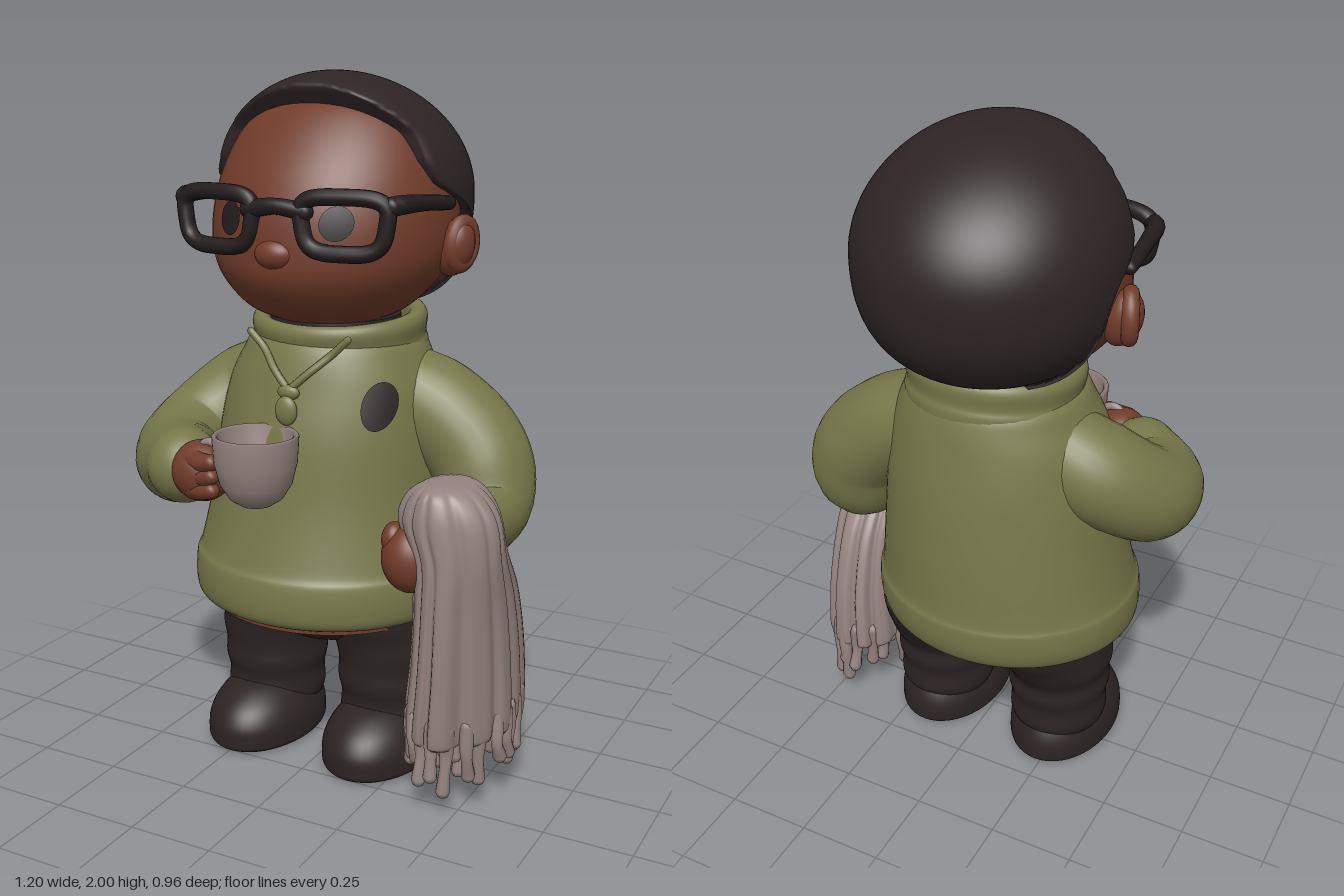
import * as THREE from 'three';
import { mergeVertices } from 'three/addons/utils/BufferGeometryUtils.js';

const mat = (name, color) => Object.assign(new THREE.MeshStandardMaterial({ color }), { name });
const skin = mat('skin', 0x713c2a);
const hairMat = mat('hair', 0x2e2425);
const knit = mat('olive knit', 0x77774a);
const dark = mat('trouser brown', 0x2d2424);
const frameMat = mat('glasses frame', 0x231c1d);
const cloth = mat('towel and cup', 0x95837f);
const V = (x, y, z) => new THREE.Vector3(x, y, z);
const CX = -0.04; // centre line of the figure

// Smooth solid through horizontal ellipses [y, cx, cz, rx, rz], listed upwards
function section(rows) {
  const c = new THREE.CatmullRomCurve3(rows.map(r => V(r[1], r[0], r[2])), false, 'catmullrom');
  const s = new THREE.CatmullRomCurve3(rows.map(r => V(r[3], r[0], r[4])), false, 'catmullrom');
  return t => ({ c: c.getPoint(t), s: s.getPoint(t) });
}
function loft(rows, { seg = 48, steps = 40, ripple = () => 1 } = {}) {
  const at = section(rows), pos = [], idx = [];
  for (let i = 0; i <= steps; i++) {
    const { c, s } = at(i / steps);
    for (let j = 0; j < seg; j++) {
      const a = j / seg * Math.PI * 2, k = ripple(a, i / steps);
      pos.push(c.x + Math.cos(a) * s.x * k, c.y, c.z + Math.sin(a) * s.z * k);
    }
  }
  const end = (steps + 1) * seg;
  for (const t of [0, 1]) pos.push(...at(t).c.toArray());
  for (let j = 0; j < seg; j++) {
    const n = (j + 1) % seg, top = steps * seg;
    for (let i = 0; i < steps; i++) {
      const a = i * seg + j, b = i * seg + n;
      idx.push(a, a + seg, b, b, a + seg, b + seg);
    }
    idx.push(end, j, n, end + 1, top + n, top + j);
  }
  const g = new THREE.BufferGeometry();
  g.setAttribute('position', new THREE.Float32BufferAttribute(pos, 3));
  g.setIndex(idx);
  g.computeVertexNormals();
  return g;
}
// Front surface depth of a loft at (x, y)
function frontZ(rows) {
  const at = section(rows);
  return (x, y) => {
    let lo = 0, hi = 1;
    for (let i = 0; i < 24; i++) {
      const m = (lo + hi) / 2;
      if (at(m).c.y < y) lo = m; else hi = m;
    }
    const { c, s } = at(lo);
    return c.z + s.z * Math.sqrt(Math.max(0, 1 - ((x - c.x) / s.x) ** 2));
  };
}
// Thin oval patch laid on a front surface
function patch(x, y, rx, ry, surf, lift) {
  const g = new THREE.RingGeometry(0.001, 1, 28, 6), p = g.attributes.position;
  for (let i = 0; i < p.count; i++) {
    const px = x + p.getX(i) * rx, py = y + p.getY(i) * ry;
    p.setXYZ(i, px, py, surf(px, py) + lift);
  }
  g.computeVertexNormals();
  return g;
}

const headRows = [
  [1.30, CX, -0.02, 0.10, 0.10], [1.32, CX, 0, 0.17, 0.16], [1.36, CX, 0, 0.245, 0.235],
  [1.44, CX, -0.02, 0.318, 0.315], [1.52, CX, -0.03, 0.35, 0.335], [1.62, CX, -0.05, 0.355, 0.345],
  [1.72, CX, -0.07, 0.34, 0.33], [1.82, CX, -0.08, 0.30, 0.275], [1.90, CX, -0.08, 0.235, 0.2],
  [1.94, CX, -0.08, 0.15, 0.13]];
const bodyRows = [
  [0.455, -0.06, -0.01, 0.33, 0.30], [0.48, -0.06, -0.01, 0.385, 0.35], [0.53, -0.06, -0.015, 0.40, 0.368],
  [0.60, -0.06, -0.02, 0.398, 0.368], [0.64, -0.06, -0.025, 0.385, 0.355], [0.80, -0.055, -0.04, 0.36, 0.333],
  [1.0, -0.05, -0.045, 0.338, 0.31], [1.13, -0.045, -0.05, 0.315, 0.282], [1.21, CX, -0.053, 0.28, 0.262],
  [1.26, CX, -0.055, 0.252, 0.24], [1.29, CX, -0.055, 0.2, 0.2]];

export function createModel() {
  const root = new THREE.Group();
  const add = (name, geo, m, x = 0, y = 0, z = 0) => {
    const mesh = new THREE.Mesh(geo, m);
    mesh.name = name;
    mesh.position.set(x, y, z);
    root.add(mesh);
    return mesh;
  };
  const ball = (name, m, x, y, z, rx, ry, rz) => {
    const b = add(name, new THREE.SphereGeometry(1, 32, 24), m, x, y, z);
    b.scale.set(rx, ry, rz);
    return b;
  };
  // Tube with changing radius and rounded ends
  const limb = (name, m, pts, radii, seg = 28, steps = 32) => {
    const curve = new THREE.CatmullRomCurve3(pts.map(p => V(...p)));
    const g = new THREE.TubeGeometry(curve, steps, 1, seg), p = g.attributes.position, v = V(0, 0, 0);
    for (let i = 0; i < p.count; i++) {
      const t = Math.floor(i / (seg + 1)) / steps, f = t * (radii.length - 1), k = Math.min(Math.floor(f), radii.length - 2);
      const c = curve.getPointAt(t);
      v.fromBufferAttribute(p, i).sub(c).multiplyScalar(THREE.MathUtils.lerp(radii[k], radii[k + 1], f - k)).add(c);
      p.setXYZ(i, v.x, v.y, v.z);
    }
    add(name, g, m);
    [0, radii.length - 1].forEach(i => {
      const e = add(name + 'End', new THREE.SphereGeometry(radii[i], seg, Math.ceil(seg / 2)), m);
      e.position.set(...pts[i ? pts.length - 1 : 0]);
    });
  };

  // Head, nose and face
  const face = frontZ(headRows), chest = frontZ(bodyRows);
  add('head', loft(headRows), skin);
  ball('nose', skin, -0.05, 1.522, 0.285, 0.06, 0.042, 0.04);
  for (const s of [-1, 1]) {
    add('eye', patch(CX + s * 0.163, 1.61, 0.042, 0.046, face, 0.006), frameMat);
    const ear = ball('ear', skin, CX + s * 0.362, 1.525, -0.06, 0.055, 0.082, 0.055);
    ear.rotation.z = -s * 0.25;
    const rim = add('earRim', new THREE.TorusGeometry(0.048, 0.024, 12, 28), skin, CX + s * 0.382, 1.535, -0.06);
    rim.rotation.set(0, Math.PI / 2 - s * 0.4, -s * 0.2);
    rim.scale.set(0.85, 1.15, 1);
  }

  // Hair cap: rounded shell cut off along the hairline
  const hairline = [[1.3, -0.23], [1.45, -0.19], [1.6, -0.16], [1.64, -0.12], [1.7, 0.02], [1.76, 0.05], [1.84, 0.055], [1.91, 0.1], [1.95, 0.125], [2.1, 0.125]];
  const cut = y => {
    const k = Math.max(1, hairline.findIndex(h => h[0] > y)), [a, b] = [hairline[k - 1], hairline[k]];
    return THREE.MathUtils.lerp(a[1], b[1], (y - a[0]) / (b[0] - a[0]));
  };
  let hair = new THREE.SphereGeometry(1, 80, 72);
  const hp = hair.attributes.position;
  for (let i = 0; i < hp.count; i++) {
    const u = hp.getY(i), h = Math.sqrt(Math.max(1e-6, 1 - u * u)), y = 1.66 + u * 0.34;
    const k = u < 0 ? Math.max(0, 1 - Math.pow(-u, 2.45)) ** (1 / 2.45) / h : 1;
    const lean = u > 0 ? 0.055 * u * u : 0;
    hp.setXYZ(i, CX + hp.getX(i) * k * 0.372, y, Math.min(-0.09 + lean + hp.getZ(i) * k * 0.39, cut(y)));
  }
  hair.deleteAttribute('uv');
  hair.deleteAttribute('normal');
  hair = mergeVertices(hair, 1e-5);
  hair.computeVertexNormals();
  add('hair', hair, hairMat);

  // Glasses: two rounded frames, bridge and temples
  for (const s of [-1, 1]) {
    const pts = [];
    for (let i = 0; i < 32; i++) {
      const a = i / 32 * Math.PI * 2, q = n => Math.sign(n) * Math.abs(n) ** 0.55;
      const y = q(Math.sin(a)) * 0.074, dx = 0.193 + q(Math.cos(a)) * (0.116 + y * 0.16);
      pts.push(V(CX + s * dx, 1.608 + y, 0.297 - dx * dx * 0.4));
    }
    add('glassesFrame', new THREE.TubeGeometry(new THREE.CatmullRomCurve3(pts, true), 80, 0.023, 12, true), frameMat);
    limb('glassesTemple', frameMat, [[CX + s * 0.318, 1.66, 0.25], [CX + s * 0.332, 1.663, 0.225],
      [CX + s * 0.35, 1.66, 0.1], [CX + s * 0.36, 1.65, -0.02]], [0.027, 0.022, 0.02], 12, 20);
  }
  limb('glassesBridge', frameMat, [[CX - 0.085, 1.64, 0.294], [CX, 1.652, 0.3], [CX + 0.085, 1.64, 0.294]], [0.025, 0.022, 0.025], 12, 10);

  // Sweater, collar and undershirt
  add('sweater', loft(bodyRows, { seg: 64, steps: 60 }), knit);
  add('hemLining', new THREE.CylinderGeometry(1, 1, 0.01, 48), skin, -0.06, 0.455, -0.01).scale.set(0.345, 1, 0.315);
  const collarPts = [[0.255, -0.09], [0.258, -0.05], [0.252, -0.025], [0.258, 0.02], [0.245, 0.045], [0.22, 0.045], [0.2, 0.02], [0.19, -0.06]];
  const collarCurve = new THREE.SplineCurve(collarPts.map(p => new THREE.Vector2(...p)));
  const collar = add('collar', new THREE.LatheGeometry(collarCurve.getPoints(28), 48), knit, -0.033, 1.285, -0.055);
  collar.scale.z = 0.95;
  collar.rotation.x = 0.1;
  add('undershirt', new THREE.CylinderGeometry(0.19, 0.2, 0.13, 40), dark, CX, 1.255, -0.04);

  // Necklace, pendant and chest badge
  for (const s of [-1, 1]) {
    const pts = [0, 0.3, 0.65, 1].map(t => {
      const x = CX + s * 0.155 * (1 - t), y = 1.285 - 0.145 * t;
      return [x, y, Math.max(chest(x, y), 0.17) + 0.01];
    });
    limb('necklace', knit, pts, [0.011, 0.011], 8, 20);
  }
  ball('pendantRing', knit, CX, 1.135, chest(CX, 1.135) + 0.008, 0.034, 0.022, 0.016);
  ball('pendant', knit, CX, 1.085, chest(CX, 1.085) + 0.008, 0.034, 0.042, 0.018);
  add('chestBadge', patch(0.195, 1.1, 0.038, 0.066, chest, 0.008), dark);

  // Bent arm holding the cup
  limb('rightSleeve', knit, [[-0.2, 1.12, -0.08], [-0.36, 1.035, -0.06], [-0.458, 0.93, 0.06], [-0.43, 0.89, 0.21],
    [-0.35, 0.9, 0.3]], [0.13, 0.148, 0.142, 0.138, 0.11]);
  ball('rightHand', skin, -0.255, 0.91, 0.35, 0.09, 0.088, 0.085);
  for (let i = 0; i < 3; i++) limb('finger', skin, [[-0.26, 0.87 + i * 0.04, 0.39], [-0.22, 0.87 + i * 0.04, 0.405], [-0.19, 0.875 + i * 0.04, 0.41]], [0.034, 0.024], 12, 8);
  const cupPts = [[0, 0], [0.045, 0], [0.075, 0.02], [0.1, 0.06], [0.115, 0.12], [0.12, 0.195], [0.114, 0.201], [0.104, 0.195],
    [0.096, 0.1], [0.07, 0.045], [0, 0.025]].map(p => new THREE.Vector2(...p));
  add('cup', new THREE.LatheGeometry(cupPts, 48), cloth, -0.075, 0.84, 0.36);
  add('cupHandle', new THREE.TorusGeometry(0.034, 0.012, 10, 24), cloth, -0.222, 0.965, 0.36);

  // Lowered arm carrying the towel
  limb('leftSleeve', knit, [[0.12, 1.12, -0.08], [0.29, 1.035, -0.09], [0.405, 0.92, -0.085], [0.432, 0.81, -0.055],
    [0.415, 0.775, 0.04], [0.38, 0.77, 0.13]], [0.13, 0.148, 0.152, 0.146, 0.13, 0.1]);
  ball('leftHand', skin, 0.335, 0.71, 0.22, 0.085, 0.1, 0.09);
  ball('leftThumb', skin, 0.29, 0.76, 0.24, 0.035, 0.05, 0.04);

  // Folded towel with fringe
  const folds = (a, t) => 1 - (0.03 + 0.1 * (1 - t)) * Math.abs(Math.cos(a * 6 + Math.sin(a * 3) * 0.7)) ** 7
    + 0.025 * Math.sin(a * 5);
  add('towel', loft([[0.2, 0.44, 0.07, 0.145, 0.25], [0.23, 0.44, 0.07, 0.152, 0.262], [0.4, 0.45, 0.085, 0.14, 0.25],
    [0.58, 0.456, 0.12, 0.13, 0.215], [0.72, 0.458, 0.175, 0.128, 0.155], [0.82, 0.437, 0.19, 0.142, 0.138], [0.88, 0.43, 0.192, 0.122, 0.126],
    [0.92, 0.425, 0.192, 0.08, 0.105], [0.932, 0.42, 0.192, 0.035, 0.06]], { seg: 144, steps: 48, ripple: folds }), cloth);
  for (let i = 0; i < 36; i++) {
    const a = i * 2.399, r = i < 24 ? 0.95 : 0.5, w = Math.sin(i * 7.3);
    const x = 0.44 + Math.cos(a) * 0.142 * r, z = 0.07 + Math.sin(a) * 0.245 * r;
    limb('fringe', cloth, [[x, 0.26, z], [x + w * 0.008, 0.18, z + w * 0.012], [x + w * 0.012, 0.105 + w * 0.035, z + 0.014 * Math.cos(i)]],
      [0.02, 0.022, 0.016, 0.021], 8, 8);
  }

  // Trousers and shoes
  add('hips', loft([[0.35, CX, -0.035, 0.06, 0.13], [0.37, CX, -0.04, 0.2, 0.18], [0.42, CX, -0.045, 0.3, 0.24], [0.52, CX, -0.03, 0.33, 0.29]]), dark);
  for (const s of [-1, 1]) {
    const x = CX + s * 0.198;
    add('trouserLeg', loft([[0.09, x, -0.02, 0.135, 0.135], [0.13, x, -0.02, 0.148, 0.158], [0.19, x, -0.02, 0.146, 0.155],
      [0.24, x, -0.02, 0.155, 0.168], [0.29, x, -0.02, 0.153, 0.168], [0.34, x, -0.03, 0.164, 0.185], [0.39, x - s * 0.01, -0.04, 0.172, 0.205],
      [0.44, x - s * 0.01, -0.045, 0.168, 0.23], [0.5, x - s * 0.01, -0.05, 0.165, 0.25]]), dark);
    add('shoe', loft([[0, x, 0.04, 0.14, 0.21], [0.012, x, 0.04, 0.157, 0.228], [0.03, x, 0.04, 0.162, 0.232], [0.08, x, 0.04, 0.158, 0.228],
      [0.13, x, 0.035, 0.135, 0.2], [0.17, x, 0.02, 0.095, 0.15], [0.185, x, 0.01, 0.05, 0.09]]), dark);
  }
  return root;
}
